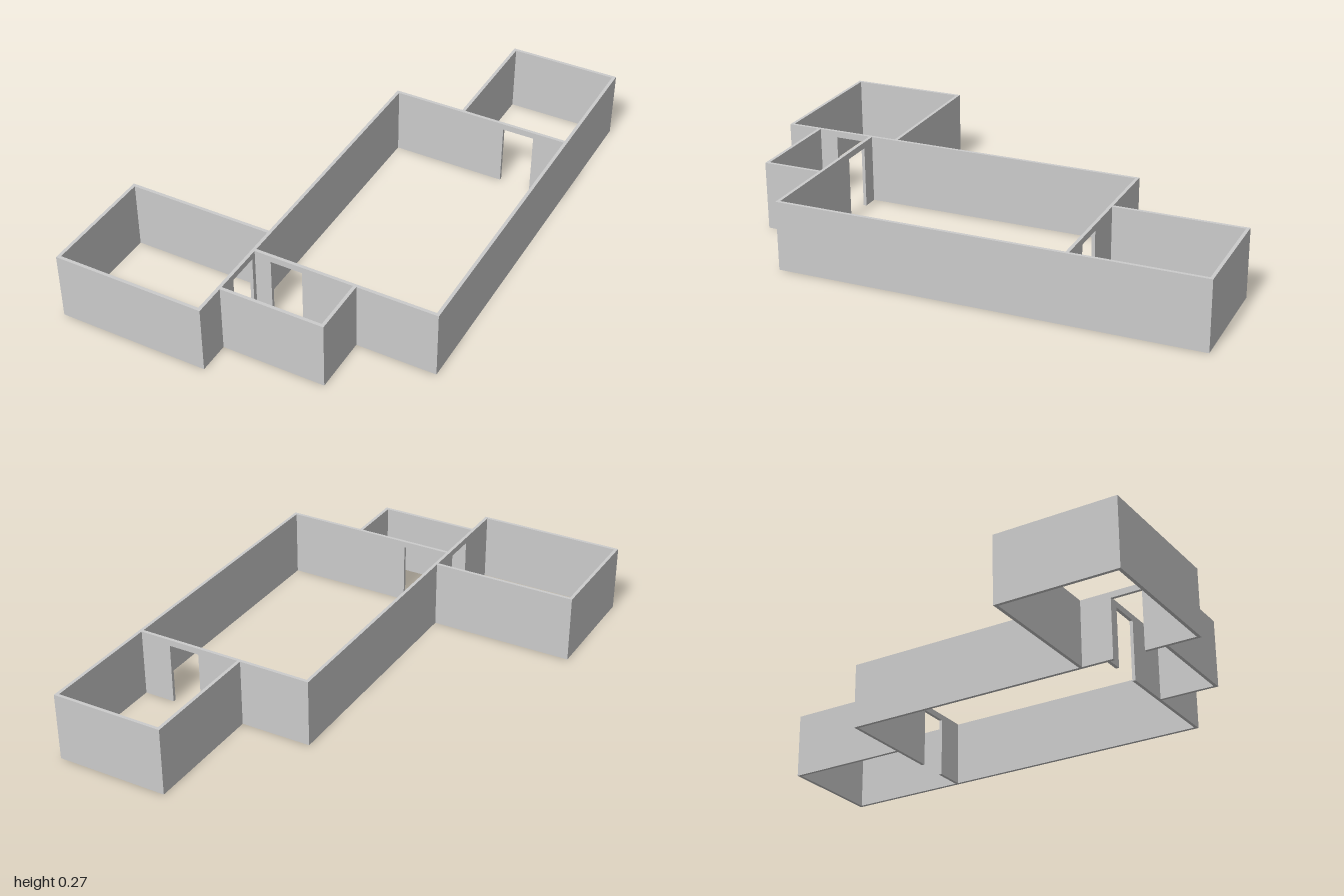
import * as THREE from 'three';

const H = 0.271;      // wall height
const T = 0.013;      // wall thickness
const DOOR_H = 0.246; // doorway height

const material = new THREE.MeshStandardMaterial({ color: 0xcccccc, flatShading: true });

// Wall standing on the floor, running from a to b; an optional doorway [d0, d1] is cut up from the floor.
function wallGeometry(a, b, door) {
  const shape = new THREE.Shape();
  shape.moveTo(a, 0);
  if (door) {
    shape.lineTo(door[0], 0);
    shape.lineTo(door[0], DOOR_H);
    shape.lineTo(door[1], DOOR_H);
    shape.lineTo(door[1], 0);
  }
  shape.lineTo(b, 0);
  shape.lineTo(b, H);
  shape.lineTo(a, H);
  return new THREE.ExtrudeGeometry(shape, { depth: T, bevelEnabled: false });
}

// Wall along x, with its back face at z
function wallX(name, x0, x1, z, door) {
  const mesh = new THREE.Mesh(wallGeometry(x0, x1, door), material);
  mesh.name = name;
  mesh.position.z = z;
  return mesh;
}

// Wall along z, with its -x face at x
function wallZ(name, z0, z1, x, door) {
  const flipped = door && [-door[1], -door[0]];
  const geometry = wallGeometry(-z1, -z0, flipped).rotateY(Math.PI / 2);
  const mesh = new THREE.Mesh(geometry, material);
  mesh.name = name;
  mesh.position.x = x;
  return mesh;
}

function room(name, ...walls) {
  const group = new THREE.Group();
  group.name = name;
  group.add(...walls);
  return group;
}

export function createModel() {
  const model = new THREE.Group();
  model.name = 'floorPlanWalls';

  // Outer lines of the plan
  const xSide = 0.661, xMid = -0.076;
  const zBack = -0.493, zFront = 0.64, zPorch = 0.872, zAnnex = 0.518;
  const inMid = xMid + T;

  model.add(
    // Large hall, sharing its long side wall with the back room
    room('hall',
      wallZ('longSideWall', -1, zFront, xSide - T),
      wallX('hallBackWall', inMid, xSide - T, zBack, [0.395, 0.522]),
      wallX('hallFrontWall', inMid, xSide - T, zFront - T, [0.002, 0.129]),
      // Also divides the annex from the hall and the entry
      wallZ('dividingWall', zBack, 1, xMid, [0.658, 0.785])),

    // Room behind the hall
    room('backRoom',
      wallX('backRoomBackWall', 0.211 + T, xSide - T, -1),
      wallZ('backRoomSideWall', -1, zBack, 0.211)),

    // Small entry in front of the hall
    room('entry',
      wallX('entryFrontWall', inMid, 0.345 - T, zPorch - T),
      wallZ('entrySideWall', zFront, zPorch, 0.345 - T)),

    // Annex at the front corner
    room('annex',
      wallX('annexBackWall', -xSide + T, xMid, zAnnex),
      wallX('annexFrontWall', -xSide + T, xMid, 1 - T),
      wallZ('annexSideWall', zAnnex, 1, -xSide)));

  return model;
}
